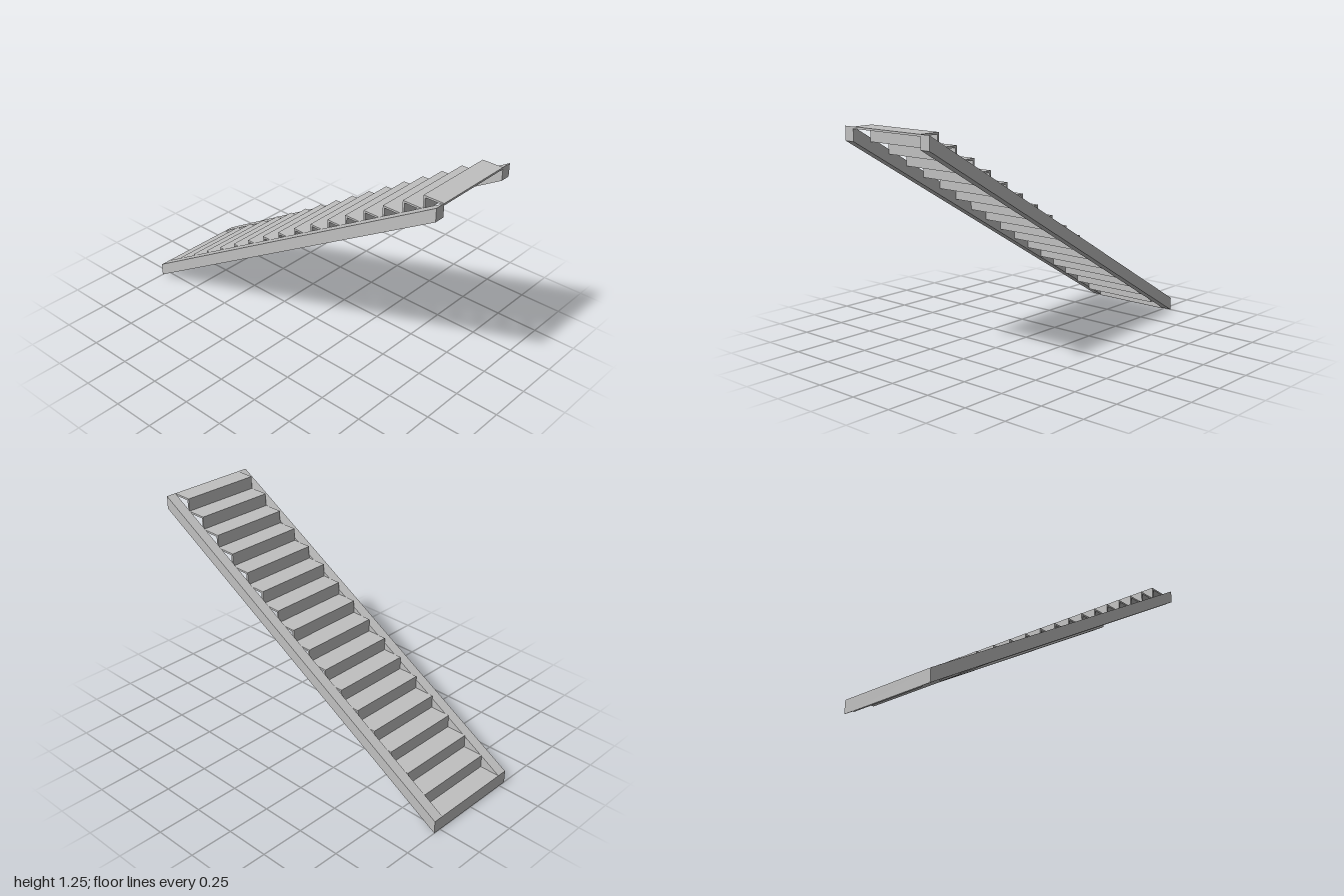
import * as THREE from 'three';

const STEPS = 17;
const RUN = 2 / STEPS;
const RISE = 1.25 / STEPS;
const BOARD = 0.0105;       // tread and riser thickness
const INNER = RUN * 2;      // half width between the stringers
const STRINGER = RUN / 2;   // stringer thickness

export function createModel() {
  const group = new THREE.Group();
  group.name = 'staircase';
  const grey = new THREE.MeshStandardMaterial({ color: 0xc0c0c0 });
  grey.name = 'light grey';

  // box given by its x and y limits, spanning the gap between the stringers
  const board = (name, x0, x1, y0, y1) => {
    const mesh = new THREE.Mesh(new THREE.BoxGeometry(x1 - x0, y1 - y0, INNER * 2), grey);
    mesh.position.set((x0 + x1) / 2, (y0 + y1) / 2, 0);
    mesh.name = name;
    group.add(mesh);
  };

  // steps: each riser stands on the back edge of the tread below
  for (let i = 0; i < STEPS; i++) {
    const x = -1 + i * RUN;
    const top = (i + 1) * RISE;
    board(`riser${i + 1}`, x, x + BOARD, i * RISE, top - BOARD);
    board(`tread${i + 1}`, x, Math.min(x + RUN + BOARD, 1), top - BOARD, top);
  }

  // sloping side stringers with vertical ends
  const profile = new THREE.Shape([
    new THREE.Vector2(-1, 0),
    new THREE.Vector2(1, 1.25 - RISE),
    new THREE.Vector2(1, 1.25),
    new THREE.Vector2(-1, RISE),
  ]);
  const geometry = new THREE.ExtrudeGeometry(profile, { depth: STRINGER, bevelEnabled: false });
  for (const [name, z] of [['frontStringer', INNER], ['backStringer', -INNER - STRINGER]]) {
    const mesh = new THREE.Mesh(geometry, grey);
    mesh.position.z = z;
    mesh.name = name;
    group.add(mesh);
  }
  return group;
}
